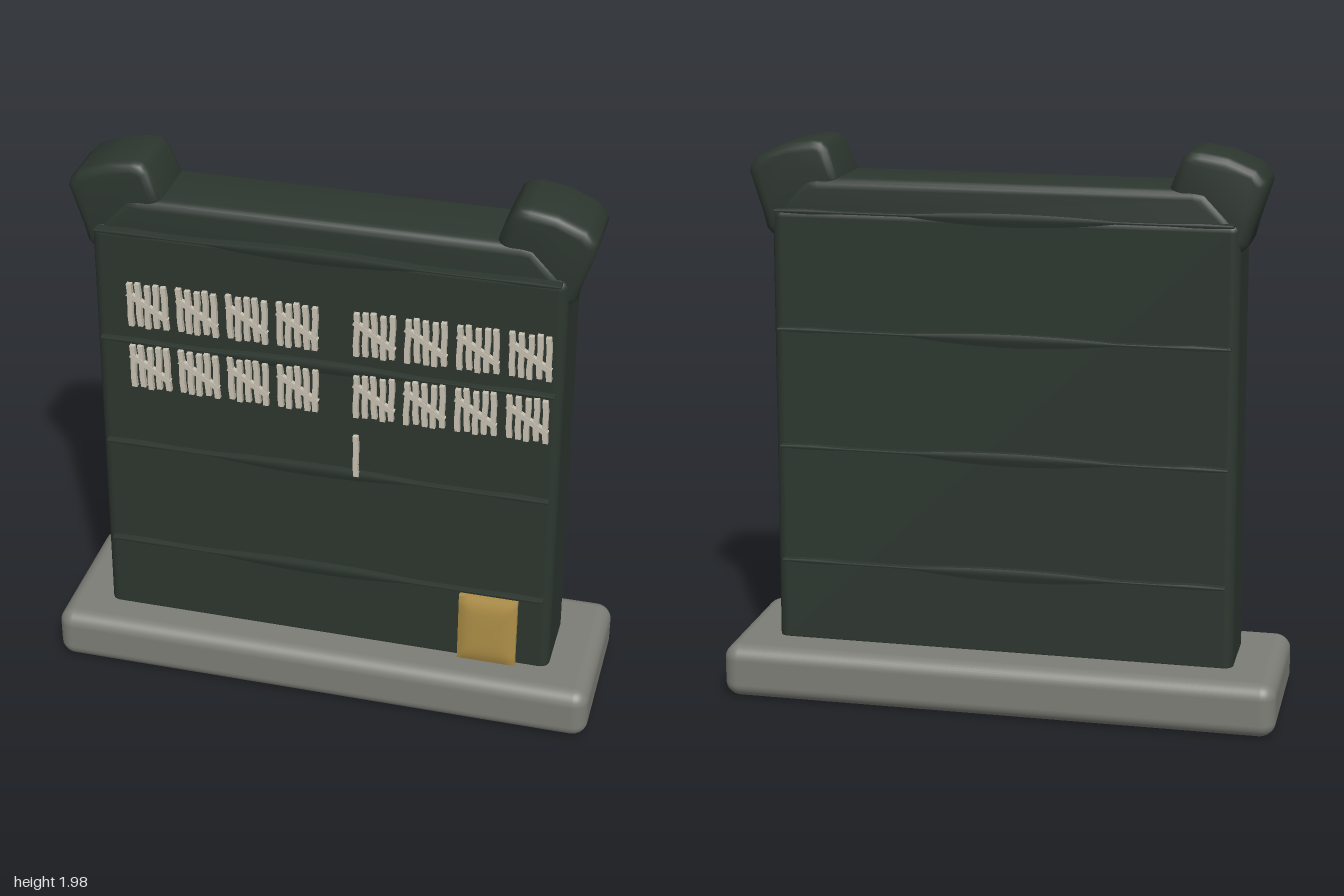
import * as THREE from 'three';
import { toCreasedNormals } from 'three/addons/utils/BufferGeometryUtils.js';
import { RoundedBoxGeometry } from 'three/addons/geometries/RoundedBoxGeometry.js';

const material = (name, color) => Object.assign(new THREE.MeshStandardMaterial({ color }), { name });

// Extrude an outline to a given depth centred on z, with rounded rims inside the outline
function roundedExtrude(points, depth, bevel) {
  const shape = new THREE.Shape(points.map(([x, y]) => new THREE.Vector2(x, y)));
  const geometry = new THREE.ExtrudeGeometry(shape, {
    depth: depth - 2 * bevel, bevelEnabled: true, bevelSize: bevel,
    bevelThickness: bevel, bevelOffset: -bevel, bevelSegments: 4,
  });
  geometry.translate(0, 0, bevel - depth / 2);
  return toCreasedNormals(geometry, 0.75);
}

// Move every vertex by a rule
function deform(geometry, rule) {
  const p = geometry.attributes.position;
  const v = new THREE.Vector3();
  for (let i = 0; i < p.count; i++) {
    rule(v.fromBufferAttribute(p, i));
    p.setXYZ(i, v.x, v.y, v.z);
  }
  return geometry;
}

export function createModel() {
  const model = new THREE.Group();
  const green = material('dark green', 0x2d362f);
  const grey = material('stone grey', 0x7e7e78);
  const chalk = material('chalk', 0xc6c0b0);
  const gold = material('brass', 0xae8f47);

  const add = (name, geometry, mat, x = 0, y = 0, z = 0, parent = model) => {
    const mesh = new THREE.Mesh(geometry, mat);
    mesh.name = name;
    mesh.position.set(x, y, z);
    parent.add(mesh);
    return mesh;
  };

  // Stone plinth, with ends slightly drawn in
  const plinth = deform(new RoundedBoxGeometry(1.97, 0.205, 0.62, 5, 0.055), (v) => {
    const end = THREE.MathUtils.smoothstep(Math.abs(v.x), 0.7, 0.985);
    v.y *= 1 - 0.07 * end;
    v.z *= 1 - 0.04 * end;
  });
  add('plinth', plinth, grey, 0, 0.113, -0.005);

  // Upright slab, narrowing a little towards the top
  const slab = deform(new RoundedBoxGeometry(1.64, 1.59, 0.295, 4, 0.035), (v) => {
    v.x *= 1 - 0.008 * (v.y + 0.8);
  });
  add('slab', slab, green, 0, 0.975, 0.004);

  // Tapered cap along the top
  const cap = [[-0.8, 1.68], [0.8, 1.68], [0.8, 1.75], [0.765, 1.79], [0.69, 1.868], [0.65, 1.875],
    [-0.65, 1.875], [-0.69, 1.868], [-0.765, 1.79], [-0.8, 1.75]];
  add('cap', roundedExtrude(cap, 0.28, 0.035), green);

  // Corner horns
  const horn = [[0.8, 1.655], [0.835, 1.69], [0.85, 1.75], [0.893, 1.885], [0.888, 1.91], [0.855, 1.945],
    [0.76, 1.985], [0.67, 2], [0.63, 1.997], [0.607, 1.975], [0.565, 1.87], [0.575, 1.85], [0.67, 1.75], [0.755, 1.68]];
  add('leftHorn', roundedExtrude(horn, 0.264, 0.035), green);
  const mirrored = horn.map(([x, y]) => [-x, y]).reverse();
  add('rightHorn', roundedExtrude(mirrored, 0.264, 0.035), green);

  // Ribs on both faces, swelling in the middle and thin towards the ends
  const rib = deform(new THREE.BoxGeometry(1.58, 0.046, 0.045, 40, 4, 2), (v) => {
    const swell = Math.max(0, 1 - ((v.x + 0.04) / 0.36) ** 2);
    const knob = Math.max(0, 1 - Math.abs(Math.abs(v.x) - 0.68) / 0.12);
    v.y = v.y * (0.16 + 0.84 * swell + 0.2 * knob) - 0.006 * swell;
    v.z *= 1 - 0.4 * Math.min(1, Math.abs(v.y) / 0.03);
  });
  rib.computeVertexNormals();
  for (const y of [0.505, 0.925, 1.345, 1.76]) {
    add('frontRib', rib, green, 0, y, 0.151);
    add('backRib', rib, green, 0, y, -0.148);
  }

  // Tally marks: bundles of five strokes crossed by a slash
  const stroke = deform(new THREE.BoxGeometry(0.018, 0.162, 0.018, 1, 4, 1), (v) => {
    v.x += 0.002 * Math.sin(v.y * 60);
  });
  const slash = new THREE.BoxGeometry(0.165, 0.018, 0.018);
  const starts = [-0.685, -0.51, -0.335, -0.16, 0.105, 0.28, 0.455, 0.63];
  [1.495, 1.253].forEach((y) => starts.forEach((x, n) => {
    const bundle = new THREE.Group();
    bundle.name = 'tallyBundle';
    bundle.position.set(x + 0.073, y, 0.174);
    for (let i = 0; i < 5; i++) {
      const mark = add('tallyStroke', stroke, chalk, (i - 2) * 0.0305, 0.004 * Math.sin(i * 2.3 + n), 0, bundle);
      mark.rotation.z = 0.03 * Math.sin(i * 1.9 + n);
    }
    add('tallySlash', slash, chalk, 0, 0, 0.002, bundle).rotation.z = -0.58;
    model.add(bundle);
  }));
  add('singleTally', stroke, chalk, 0.117, 1.01, 0.174);

  // Domed brass plate near the lower corner
  const plate = deform(new THREE.BoxGeometry(0.21, 0.275, 0.05, 12, 14, 4), (v) => {
    const rim = Math.max(Math.abs(v.x) / 0.105, Math.abs(v.y) / 0.1375);
    v.z *= 1 - 0.6 * rim ** 5;
    const pinch = 1 - Math.abs(v.z) * 0.6;
    v.x *= pinch;
    v.y *= pinch;
  });
  add('brassPlate', toCreasedNormals(plate, 0.7), gold, 0.6, 0.358, 0.178);

  return model;
}
